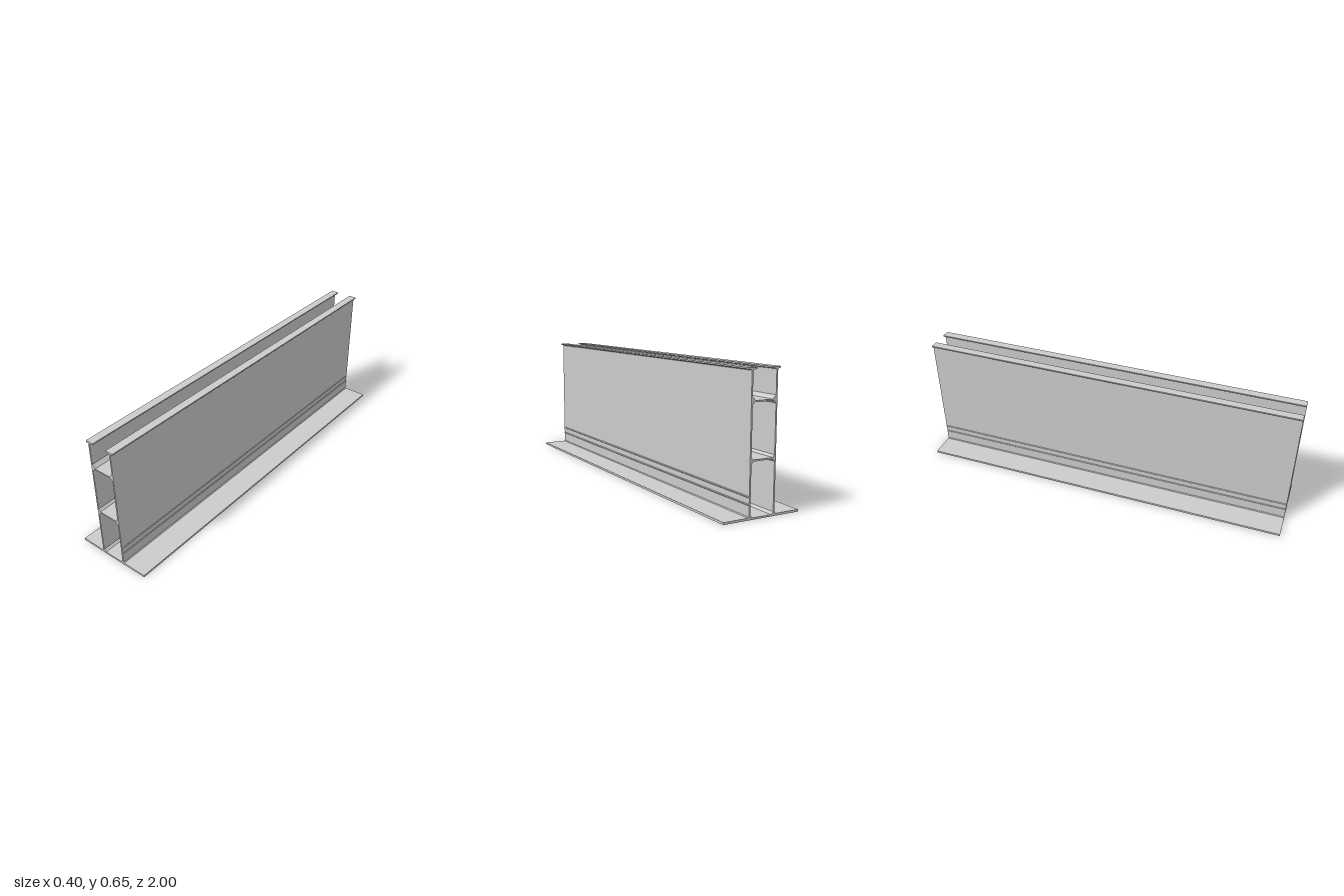
import * as THREE from 'three';

const LENGTH = 2;
const OUT = 0.069, IN = 0.0614; // outer and inner faces of the side walls

// Closed outline from its right half, mirrored across x = 0
function mirrored(half) {
  const left = half.map(([x, y]) => [-x, y]).reverse();
  return [...half, ...left].map(([x, y]) => new THREE.Vector2(x, y));
}

// Chamfered chamber between two webs
function chamber(bottom, top, chamfer) {
  return new THREE.Path(mirrored([
    [IN - chamfer, bottom], [IN, bottom + chamfer],
    [IN, top - chamfer], [IN - chamfer, top],
  ]));
}

// Small pointed ridge on the outside of a wall
const ridge = (y) => [[OUT, y - 0.004], [OUT + 0.003, y - 0.001], [OUT + 0.003, y + 0.001], [OUT, y + 0.004]];

export function createModel() {
  const group = new THREE.Group();
  group.name = 'extrudedBeam';

  // Base flange, outer wall, top lip, then the open channel
  const section = new THREE.Shape(mirrored([
    [0.202, 0], [0.202, 0.0105], [0.073, 0.0105], [OUT, 0.0145],
    ...ridge(0.067), ...ridge(0.101),
    [OUT, 0.642], [0.072, 0.645], [0.081, 0.646], [0.0827, 0.648], [0.0827, 0.654],
    [0.040, 0.654], [0.040, 0.648], [0.042, 0.646], [0.058, 0.645], [IN, 0.642],
    [IN, 0.532], [0.045, 0.515],
  ]));
  section.holes.push(chamber(0.0085, 0.2545, 0.011), chamber(0.262, 0.508, 0.011));

  const geometry = new THREE.ExtrudeGeometry(section, { depth: LENGTH, bevelEnabled: false });
  geometry.translate(0, 0, -LENGTH / 2);

  const beam = new THREE.Mesh(geometry, new THREE.MeshStandardMaterial({ color: 0xcccccc, flatShading: true }));
  beam.name = 'beamProfile';
  group.add(beam);
  return group;
}
